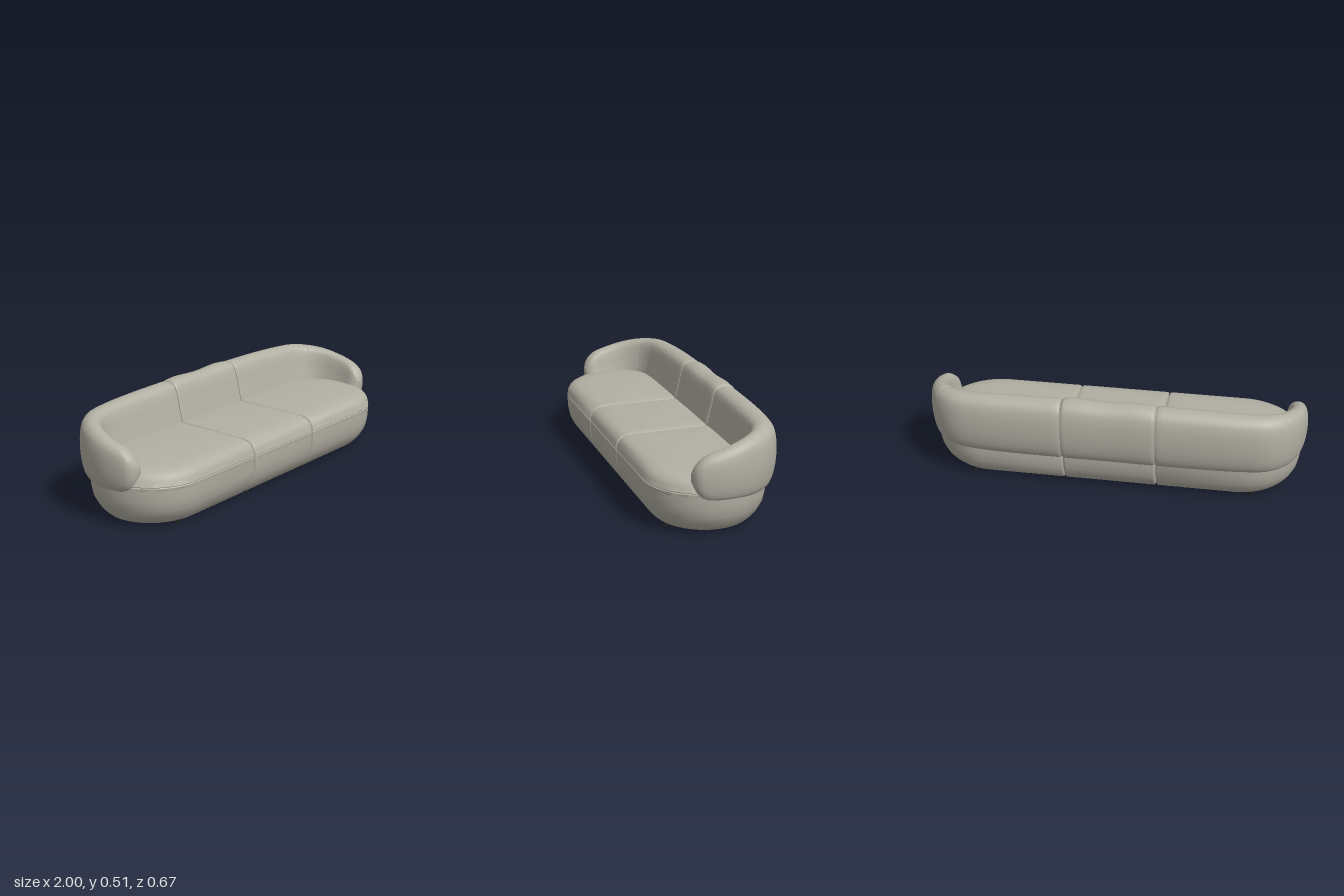
import * as THREE from 'three';
import { toCreasedNormals } from 'three/addons/utils/BufferGeometryUtils.js';

const SEAM = 0.243; // x of the joints between the three modules

// Skin closed rings of points and close both ends with fans.
function loft(rings, crease, startLift = 0, endLift = 0) {
  const n = rings[0].length, pos = [], idx = [];
  rings.forEach(r => r.forEach(p => pos.push(p.x, p.y, p.z)));
  for (let i = 0; i < rings.length - 1; i++) {
    for (let j = 0; j < n; j++) {
      const k = (j + 1) % n, a = i * n, b = a + n;
      idx.push(a + j, a + k, b + k, a + j, b + k, b + j);
    }
  }
  [[0, startLift], [rings.length - 1, endLift]].forEach(([i, lift], end) => {
    const c = new THREE.Vector3();
    rings[i].forEach(p => c.addScaledVector(p, 1 / n));
    const ci = pos.length / 3;
    pos.push(c.x, c.y + lift, c.z);
    for (let j = 0; j < n; j++) {
      const a = i * n + j, b = i * n + (j + 1) % n;
      if (end) idx.push(ci, a, b); else idx.push(ci, b, a);
    }
  });
  const g = new THREE.BufferGeometry();
  g.setAttribute('position', new THREE.Float32BufferAttribute(pos, 3));
  g.setIndex(idx);
  return toCreasedNormals(g, crease);
}

// Rounded plan outline; the left and right corners may be rounded differently.
function outline(y, x0, x1, zB, zF, left, right) {
  const pts = [], H = Math.PI / 2, N = 16;
  const corners = [[x0, zF, 1, -1, left, 2], [x1, zF, -1, -1, right, 1], [x1, zB, -1, 1, right, 0], [x0, zB, 1, 1, left, -1]];
  for (const [x, z, sx, sz, [rx, rz], q] of corners) {
    for (let i = 0; i <= N; i++) {
      const a = H * (q - i / N);
      pts.push(new THREE.Vector3(x + sx * rx + rx * Math.cos(a), y, z + sz * rz + rz * Math.sin(a)));
    }
  }
  return pts;
}

// Seat body levels: height, inset of the outer walls, inset at the module joints.
const LEVELS = [
  [0.018, 0.071, 0.003], [0.035, 0.053, 0.002], [0.06, 0.033, 0.002], [0.1, 0.013, 0.002],
  [0.15, 0.003, 0.002], [0.2, 0, 0.002], [0.221, 0, 0.002], [0.225, 0.004, 0.002],
  [0.229, 0.001, 0.002], [0.255, 0.005, 0.002], [0.275, 0.015, 0.003], [0.29, 0.033, 0.004],
  [0.299, 0.06, 0.007], [0.304, 0.1, 0.014], [0.308, 0.16, 0.035]];

function seatGeometry(side) {
  const rings = LEVELS.map(([y, d, s]) => {
    const zF = 0.333 - d, zB = -0.277 + d * 0.9, half = (zF - zB) / 2 - 0.002;
    const outer = 0.975 - d * (y > 0.23 ? 1.4 : 1);
    const small = [0.012, 0.012], big = [0.29 - d * 0.5, half];
    if (side === 0) return outline(y, -SEAM + s, SEAM - s, zB, zF, small, small);
    return side > 0 ? outline(y, SEAM + s, outer, zB, zF, small, big)
      : outline(y, -outer, -SEAM - s, zB, zF, big, small);
  });
  return loft(rings, 0.75, 0, 0.002);
}

// Backrest centre line for one half: x, z, top height, half thickness, bottom height.
const SPINE = [
  [0, -0.24, 0.506, 0.095, 0.176], [SEAM, -0.24, 0.506, 0.095, 0.176], [0.48, -0.239, 0.503, 0.094, 0.176],
  [0.68, -0.232, 0.497, 0.09, 0.177], [0.79, -0.215, 0.492, 0.085, 0.177], [0.865, -0.168, 0.482, 0.075, 0.178],
  [0.915, -0.09, 0.465, 0.066, 0.179], [0.936, 0, 0.44, 0.063, 0.182], [0.933, 0.085, 0.415, 0.06, 0.184],
  [0.912, 0.172, 0.395, 0.055, 0.188]];
const path = new THREE.CatmullRomCurve3(SPINE.map(p => new THREE.Vector3(p[0], 0, p[1])));
const size = new THREE.CatmullRomCurve3(SPINE.map(p => new THREE.Vector3(p[2], p[3], p[4])));
const T_SEAM = 1 / 9, T_CORNER = 5 / 9;

// Pillow cross-section: outward offset and height fraction.
const SECTION = new THREE.CatmullRomCurve3([
  [0, 0], [0.42, 0.01], [0.67, 0.07], [0.86, 0.2], [0.97, 0.38], [1, 0.55], [0.97, 0.72], [0.85, 0.87],
  [0.6, 0.96], [0.25, 1], [-0.12, 0.99], [-0.4, 0.93], [-0.56, 0.8], [-0.7, 0.62], [-0.85, 0.45],
  [-0.95, 0.3], [-0.93, 0.12], [-0.6, 0.02]].map(([u, v]) => new THREE.Vector3(u, v, 0)), true).getPoints(56).slice(0, -1);

// Section at signed position s: negative values give the mirrored half.
function station(s) {
  const t = Math.abs(s), m = s < 0 ? -1 : 1;
  const c = path.getPoint(t), tan = path.getTangent(t), dim = size.getPoint(t);
  const d = c.distanceTo(path.getPoint(1));
  const round = r => d < r ? Math.sqrt(1 - (1 - d / r) ** 2) : 1;
  // pinch at the joints and at the corner seam
  let pinch = 1;
  if (Math.abs(t - T_SEAM) < 0.0022) pinch = 0.955;
  else if (Math.abs(t - T_SEAM) < 0.0045) pinch = 0.985;
  else if (Math.abs(t - T_CORNER) < 0.0005) pinch = 0.98;
  const w = dim.y * Math.max(0.06, round(0.055)) * pinch;
  const h = Math.max(0.25, round(0.1)) * pinch;
  const mid = d < 0.1 ? 0.3 : (dim.x + dim.z) / 2;
  return SECTION.map(p => {
    const y = dim.z + (dim.x - dim.z) * p.y;
    return new THREE.Vector3(m * (c.x + tan.z * p.x * w), mid + (y - mid) * h, c.z - tan.x * p.x * w);
  });
}

function backGeometry(side) {
  let ts = [];
  if (side === 0) {
    for (let i = -4; i <= 4; i++) ts.push(i * 0.025);
    for (const e of [0.001, 0.004, 0.008]) ts.push(T_SEAM - e, e - T_SEAM);
  } else {
    const a = T_SEAM + 0.02;
    for (let i = 0; i <= 70; i++) ts.push(a + (1 - a) * Math.sin(i / 70 * Math.PI / 2));
    ts = ts.filter(t => Math.abs(t - T_CORNER) > 0.006);
    ts.push(T_SEAM + 0.001, T_SEAM + 0.004, T_SEAM + 0.008, T_CORNER - 0.005, T_CORNER, T_CORNER + 0.005);
    ts = ts.map(t => t * side);
  }
  ts.sort((a, b) => a - b);
  return loft(ts.map(station), 0.9);
}

export function createModel() {
  const fabric = new THREE.MeshStandardMaterial({ color: 0xb2afa3 });
  fabric.name = 'warm grey upholstery';
  const black = new THREE.MeshStandardMaterial({ color: 0x222222 });
  black.name = 'black feet';

  const model = new THREE.Group();
  model.name = 'sofa';
  const add = (geometry, material, name) => {
    const mesh = new THREE.Mesh(geometry, material);
    mesh.name = name;
    model.add(mesh);
    return mesh;
  };

  // Three seat modules and the backrest wrapping into the arms
  [['right', -1], ['middle', 0], ['left', 1]].forEach(([name, side]) => {
    add(seatGeometry(side), fabric, name + 'Seat');
    add(backGeometry(side), fabric, name + (side ? 'BackAndArm' : 'Back'));
  });

  // Four feet under each module
  const foot = new THREE.CylinderGeometry(0.014, 0.014, 0.02, 20);
  for (const x of [-0.737, -0.295, -0.198, 0.198, 0.295, 0.737]) {
    for (const z of [0.237, -0.187]) add(foot, black, 'foot').position.set(x, 0.01, z);
  }
  return model;
}
